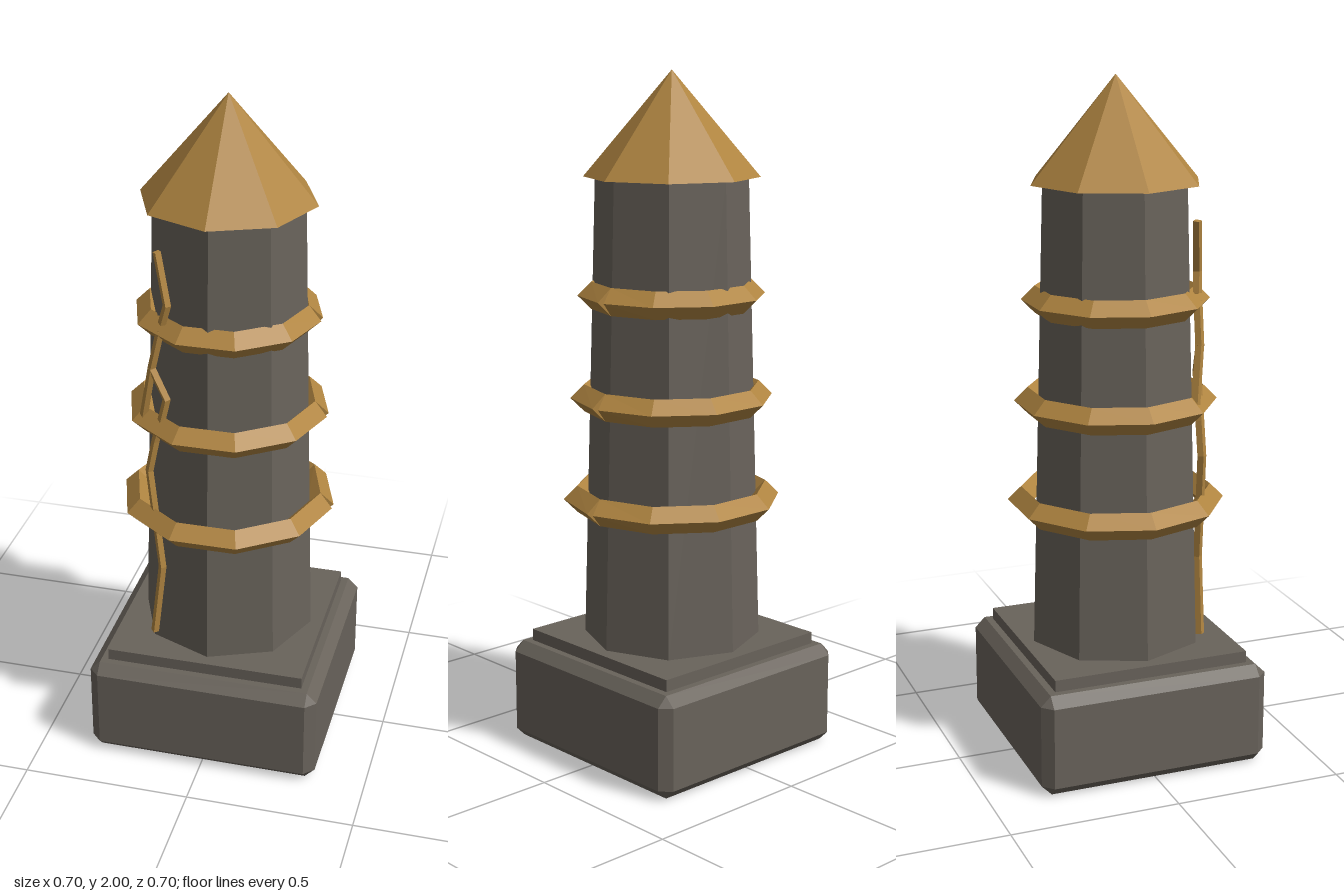
import * as THREE from 'three';
import { ConvexGeometry } from 'three/addons/geometries/ConvexGeometry.js';

const V = (x, y, z) => new THREE.Vector3(x, y, z);

// Box with all edges chamfered by c, standing on y = 0
function chamferBox(hx, h, hz, c) {
  const pts = [];
  for (const sx of [-1, 1]) for (const sy of [-1, 1]) for (const sz of [-1, 1]) {
    const y = (d) => h / 2 + sy * (h / 2 - d);
    pts.push(V(sx * hx, y(c), sz * (hz - c)),
      V(sx * (hx - c), y(0), sz * (hz - c)),
      V(sx * (hx - c), y(c), sz * hz));
  }
  return new ConvexGeometry(pts);
}

// Sweep a diamond section (half sizes a across, b along up) over a path
function sweep(path, up, a, b) {
  const pos = [], idx = [], last = path.length - 1;
  path.forEach((p, i) => {
    const t = V(0, 0, 0);
    if (i > 0) t.add(p.clone().sub(path[i - 1]).normalize());
    if (i < last) t.add(path[i + 1].clone().sub(p).normalize());
    const side = t.cross(up).normalize();
    for (let k = 0; k < 4; k++) {
      const q = p.clone()
        .addScaledVector(side, a * Math.cos(k * Math.PI / 2))
        .addScaledVector(up, b * Math.sin(k * Math.PI / 2));
      pos.push(q.x, q.y, q.z);
    }
  });
  for (let i = 0; i < last; i++) for (let k = 0; k < 4; k++) {
    const s = i * 4 + k, n = i * 4 + (k + 1) % 4;
    idx.push(s, s + 4, n, n, s + 4, n + 4);
  }
  const e = last * 4;
  idx.push(0, 1, 2, 0, 2, 3, e, e + 2, e + 1, e, e + 3, e + 2);
  const g = new THREE.BufferGeometry();
  g.setAttribute('position', new THREE.Float32BufferAttribute(pos, 3));
  g.setIndex(idx);
  const flat = g.toNonIndexed();
  flat.computeVertexNormals();
  return flat;
}

export function createModel() {
  const model = new THREE.Group();
  const stone = new THREE.MeshStandardMaterial({ color: 0x69635b, flatShading: true });
  stone.name = 'grey stone';
  const gold = new THREE.MeshStandardMaterial({ color: 0xb08541, flatShading: true });
  gold.name = 'dull gold';

  const add = (name, geometry, material, y = 0) => {
    const mesh = new THREE.Mesh(geometry, material);
    mesh.name = name;
    mesh.position.y = y;
    model.add(mesh);
    return mesh;
  };

  // Plinth
  add('base', chamferBox(0.348, 0.305, 0.348, 0.03), stone);
  add('basePlate', new THREE.BoxGeometry(0.594, 0.06, 0.594), stone, 0.31);

  // Tapered octagonal shaft and pointed cap
  add('shaft', new THREE.CylinderGeometry(0.22, 0.261, 1.37, 8), stone, 1.015);
  add('roof', new THREE.ConeGeometry(0.254, 0.3, 8), gold, 1.85);

  // Ten-sided bands, with a small notch where their ends meet at +x
  [[0.28, 0.76], [0.257, 1.063], [0.233, 1.363]].forEach(([r, y], n) => {
    const path = [];
    for (let i = 0; i <= 10; i++) {
      const a = (i % 10) * Math.PI / 5;
      path.push(V(r * Math.cos(a), 0, r * Math.sin(a)));
    }
    add('band' + (n + 1), sweep(path, V(0, 1, 0), 0.04, 0.04), gold, y);
  });

  // Jagged gold vein up the front, with a side branch
  const vein = [
    V(-0.178, 0.365, 0.2), V(-0.15, 0.6, 0.202), V(-0.185, 0.92, 0.196), V(-0.165, 1.02, 0.197),
    V(-0.145, 1.09, 0.2), V(-0.128, 1.16, 0.202), V(-0.175, 1.25, 0.19),
  ];
  const tip = [V(-0.14, 1.39, 0.195), V(-0.122, 1.45, 0.203), V(-0.153, 1.6, 0.187)];
  const branch = [V(-0.208, 1.08, 0.165), V(-0.173, 1.25, 0.19), V(-0.145, 1.37, 0.195)];
  [['vein', vein], ['veinTip', tip], ['veinBranch', branch]].forEach(([name, path]) =>
    add(name, sweep(path, V(0, 0, 1), 0.012, 0.014), gold));

  return model;
}
